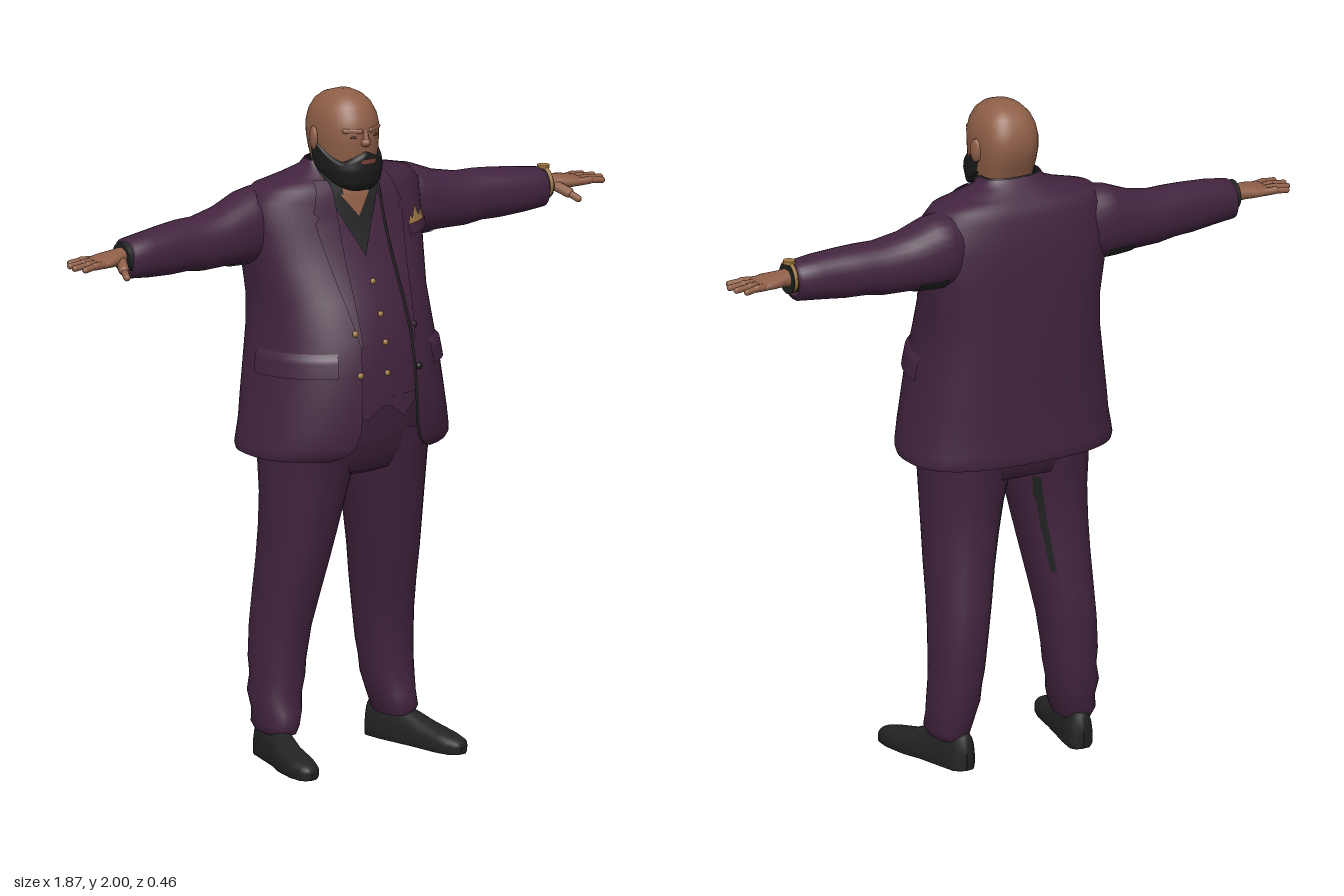
import * as THREE from 'three';

const material = (name, color) => {
  const m = new THREE.MeshStandardMaterial({ color, side: THREE.DoubleSide });
  m.name = name;
  return m;
};
const { lerp } = THREE.MathUtils;
const spow = (v, e) => Math.sign(v) * Math.pow(Math.abs(v), e);

// Interpolates rows [key, ...values], sorted by falling key
function at(rows, k) {
  let i = 0;
  while (i < rows.length - 2 && k < rows[i + 1][0]) i++;
  const p = rows[i], q = rows[i + 1];
  const t = Math.min(1, Math.max(0, (k - p[0]) / (q[0] - p[0])));
  return p.map((v, n) => lerp(v, q[n], t));
}

// Smooth surface from fn(u, v) -> [x, y, z]; s = -1 mirrors it in x
function grid(nu, nv, fn, { closed = false, s = 1 } = {}) {
  const pos = [], idx = [], cols = closed ? nu : nu + 1;
  for (let j = 0; j <= nv; j++)
    for (let i = 0; i < cols; i++) {
      const [x, y, z] = fn(i / nu, j / nv);
      pos.push(x * s, y, z);
    }
  for (let j = 0; j < nv; j++)
    for (let i = 0; i < nu; i++) {
      const i2 = (i + 1) % cols;
      const a = j * cols + i, b = j * cols + i2, d = a + cols, c = b + cols;
      if (s > 0) idx.push(a, d, b, b, d, c);
      else idx.push(a, b, d, b, c, d);
    }
  const g = new THREE.BufferGeometry();
  g.setAttribute('position', new THREE.Float32BufferAttribute(pos, 3));
  g.setIndex(idx);
  g.computeVertexNormals();
  return g;
}

// Body section rows: [y, half width, front z, back z, middle z]; angle runs from the front to +x
function ringPoint(rows, y, a, off = 0) {
  const [, w, zf, zb, cz] = at(rows, y);
  const c = Math.cos(a), e = c > 0 ? 0.9 : 0.75;
  return [(w + off) * spow(Math.sin(a), e), y, cz + (c > 0 ? zf - cz + off : cz - zb + off) * spow(c, e)];
}
const angleAt = (rows, x, y) =>
  Math.sign(x) * Math.asin(Math.min(1, Math.pow(Math.abs(x) / at(rows, y)[1], 1 / 0.9)));
const frontPoint = (rows, x, y, off) => ringPoint(rows, y, angleAt(rows, x, y), off);
const column = (rows, n = 40) => grid(n, rows.length - 1,
  (u, v) => ringPoint(rows, rows[Math.round(v * (rows.length - 1))][0], u * Math.PI * 2), { closed: true });
// Thin cloth piece lying on a body surface, given stations [y, x from, x to]
function panel(rows, st, off, s = 1) {
  const n = st.length - 1;
  return grid(6, n * 6, (u, v) => {
    const i = Math.min(n - 1, Math.floor(v * n + 1e-6)), t = v * n - i;
    const [y, xa, xb] = st[i].map((q, k) => lerp(q, st[i + 1][k], t));
    return frontPoint(rows, lerp(xa, xb, u), y, off);
  }, { s });
}

const JACKET = [
  [1.79, 0.095, -0.02, -0.125, -0.06], [1.765, 0.11, 0.0, -0.145, -0.06], [1.74, 0.18, 0.025, -0.175, -0.07],
  [1.722, 0.26, 0.038, -0.192, -0.08], [1.69, 0.288, 0.05, -0.21, -0.08], [1.6, 0.29, 0.078, -0.23, -0.08],
  [1.5, 0.285, 0.12, -0.235, -0.08], [1.4, 0.272, 0.17, -0.235, -0.07], [1.3, 0.275, 0.212, -0.235, -0.06],
  [1.2, 0.29, 0.23, -0.233, -0.05], [1.1, 0.305, 0.233, -0.232, -0.04], [1.03, 0.315, 0.232, -0.232, -0.03],
  [0.98, 0.324, 0.226, -0.234, -0.03], [0.955, 0.328, 0.216, -0.235, -0.03], [0.94, 0.325, 0.2, -0.23, -0.03]];
// Half width of the jacket's front opening
const OPENING = [[1.79, 0.09], [1.72, 0.085], [1.3, 0.09], [1.03, 0.1], [0.98, 0.115], [0.955, 0.14], [0.94, 0.175]];
const VEST = [
  [1.765, 0.075, 0.0, -0.12, -0.05], [1.73, 0.13, 0.015, -0.14, -0.06], [1.7, 0.22, 0.03, -0.18, -0.08],
  [1.6, 0.26, 0.06, -0.2, -0.08], [1.5, 0.255, 0.1, -0.21, -0.08], [1.4, 0.245, 0.15, -0.21, -0.07],
  [1.3, 0.25, 0.187, -0.21, -0.06], [1.2, 0.26, 0.2, -0.21, -0.05], [1.09, 0.27, 0.202, -0.21, -0.04]];
const HIPS = [
  [1.14, 0.255, 0.185, -0.2, -0.03], [1.0, 0.262, 0.165, -0.2, -0.03], [0.93, 0.26, 0.14, -0.19, -0.03],
  [0.88, 0.25, 0.115, -0.17, -0.03], [0.86, 0.2, 0.07, -0.12, -0.03]];
const HEAD = [
  [2.0, 0.001, -0.019, -0.021, -0.02], [1.996, 0.03, 0.015, -0.052, -0.02], [1.985, 0.052, 0.045, -0.084, -0.02],
  [1.965, 0.072, 0.07, -0.11, -0.02], [1.935, 0.086, 0.089, -0.128, -0.02], [1.9, 0.093, 0.098, -0.136, -0.02],
  [1.86, 0.093, 0.095, -0.135, -0.02], [1.82, 0.09, 0.094, -0.122, -0.02], [1.78, 0.084, 0.086, -0.106, -0.02],
  [1.75, 0.078, 0.06, -0.1, -0.03], [1.72, 0.078, 0.035, -0.105, -0.04], [1.66, 0.085, 0.03, -0.11, -0.04]];
const BEARD = [
  [1.88, 0.096, 0.102, -0.13, -0.02], [1.83, 0.096, 0.104, -0.12, -0.02], [1.78, 0.097, 0.112, -0.1, -0.01],
  [1.74, 0.086, 0.108, -0.08, 0.0], [1.72, 0.068, 0.094, -0.06, 0.01], [1.708, 0.045, 0.075, -0.02, 0.02]];
const COLLAR = [[1.785, 0.084, 0.045, -0.11, -0.04], [1.75, 0.094, 0.045, -0.122, -0.04], [1.7, 0.1, 0.05, -0.13, -0.04]];

// Sleeve rows, falling x: [x, top y, bottom y, front z, back z]
const SLEEVE = [
  [0.735, 1.625, 1.54, -0.03, -0.12], [0.728, 1.642, 1.525, -0.016, -0.137], [0.66, 1.652, 1.518, -0.014, -0.143],
  [0.58, 1.66, 1.512, -0.018, -0.158], [0.52, 1.664, 1.512, -0.022, -0.168], [0.46, 1.664, 1.504, -0.022, -0.176],
  [0.38, 1.68, 1.504, -0.024, -0.188], [0.3, 1.712, 1.5, -0.02, -0.202], [0.25, 1.722, 1.5, -0.03, -0.2], [0.18, 1.7, 1.52, -0.05, -0.18]];
const PALM = [
  [0.856, 1.594, 1.584, -0.03, -0.1], [0.85, 1.603, 1.575, -0.018, -0.112], [0.81, 1.611, 1.573, -0.018, -0.113],
  [0.77, 1.617, 1.572, -0.035, -0.104], [0.74, 1.622, 1.565, -0.042, -0.1], [0.7, 1.622, 1.565, -0.042, -0.1]];
// Trouser leg rows: [y, inner x, outer x, front z, back z]
const LEG = [
  [1.0, 0.0, 0.258, 0.155, -0.19], [0.9, 0.002, 0.256, 0.13, -0.18], [0.8, 0.024, 0.255, 0.108, -0.162],
  [0.7, 0.045, 0.254, 0.09, -0.162], [0.6, 0.065, 0.255, 0.07, -0.168], [0.5, 0.083, 0.257, 0.045, -0.178],
  [0.4, 0.1, 0.262, 0.02, -0.182], [0.3, 0.112, 0.266, 0.006, -0.178], [0.25, 0.12, 0.263, 0.01, -0.172],
  [0.2, 0.126, 0.272, 0.0, -0.17], [0.15, 0.138, 0.264, 0.016, -0.158], [0.11, 0.15, 0.268, 0.02, -0.152], [0.085, 0.16, 0.255, 0.01, -0.14]];
// Shoe rows, falling z: [z, middle x, half width, height]
const SHOE = [
  [0.203, 0.264, 0.001, 0.022], [0.2, 0.264, 0.02, 0.035], [0.185, 0.262, 0.036, 0.047], [0.14, 0.256, 0.047, 0.058],
  [0.06, 0.243, 0.048, 0.075], [0.0, 0.226, 0.043, 0.1], [-0.08, 0.208, 0.043, 0.115], [-0.14, 0.197, 0.04, 0.115],
  [-0.158, 0.195, 0.025, 0.105], [-0.162, 0.195, 0.001, 0.05]];

function limbPoint([k, hi, lo, f, b], a, along, off = 0) {
  const p = (hi + lo) / 2 + ((hi - lo) / 2 + off) * spow(Math.cos(a), 0.88);
  const z = (f + b) / 2 + ((f - b) / 2 + off) * spow(Math.sin(a), 0.88);
  return along === 'x' ? [k, p, z] : [p, k, z];
}
const limb = (rows, along, s) => grid(28, rows.length - 1,
  (u, v) => limbPoint(rows[Math.round(v * (rows.length - 1))], u * Math.PI * 2, along), { closed: true, s });

export function createModel() {
  const model = new THREE.Group();
  const purple = material('purple cloth', 0x43243f), black = material('black cloth', 0x222423);
  const skin = material('skin', 0x8f5f48), gold = material('gold', 0xa07a45);
  const hair = material('beard black', 0x1b1a1a), lip = material('lips', 0x6f3d33), dark = material('eye shade', 0x553628);
  const add = (name, mat, geo) => {
    const m = new THREE.Mesh(geo, mat);
    m.name = name;
    model.add(m);
    return m;
  };
  const blob = (name, mat, p, size) => {
    const m = add(name, mat, new THREE.SphereGeometry(1, 16, 12));
    m.position.set(...p);
    m.scale.set(...size);
    return m;
  };
  const rod = (name, mat, a, b, r) => {
    const p = new THREE.Vector3(...a), d = new THREE.Vector3(...b).sub(p);
    const m = add(name, mat, new THREE.CapsuleGeometry(r, d.length(), 4, 10));
    m.position.copy(p).addScaledVector(d, 0.5);
    m.quaternion.setFromUnitVectors(new THREE.Vector3(0, 1, 0), d.normalize());
    return m;
  };

  // Head and face
  add('head', skin, column(HEAD));
  blob('nose', skin, [0, 1.862, 0.094], [0.016, 0.014, 0.018]);
  rod('noseBridge', skin, [0, 1.895, 0.09], [0, 1.868, 0.099], 0.009);
  add('mouth', lip, panel(BEARD, [[1.815, -0.02, 0.02], [1.808, -0.028, 0.028], [1.8, -0.02, 0.02]], 0.005));
  add('beard', hair, grid(40, 14, (u, v) => {
    const a = lerp(-1.75, 1.75, u), k = Math.abs(a);
    const top = k < 0.75 ? lerp(1.837, 1.805, k / 0.75) : lerp(1.805, 1.875, Math.pow((k - 0.75), 1.5));
    const bottom = 1.708 + 0.085 * Math.pow(k / 1.75, 3);
    return ringPoint(BEARD, lerp(top, bottom, v), a, v === 0 || v === 1 ? -0.014 : 0);
  }));
  add('neckOpening', skin, panel(VEST, [[1.75, -0.06, 0.06], [1.7, -0.05, 0.05], [1.63, 0, 0]], 0.012));

  // Vest, shirt and trouser top
  add('vest', purple, column(VEST));
  add('shirtFront', black, panel(VEST, [[1.75, -0.085, 0.085], [1.7, -0.085, 0.085], [1.52, 0, 0]], 0.006));
  add('shirtCollar', black, grid(36, 4, (u, v) =>
    ringPoint(COLLAR, lerp(1.785, 1.7, v), lerp(0.55 - 0.15 * v, Math.PI * 2 - 0.55 + 0.15 * v, u))));
  add('hips', purple, column(HIPS));
  for (const y of [1.45, 1.36, 1.28, 1.19]) blob('vestButton', gold, frontPoint(VEST, 0.004, y, 0.003), [0.009, 0.009, 0.006]);

  // Jacket shell with dark lining
  const shell = off => grid(56, JACKET.length - 1, (u, v) => {
    const y = JACKET[Math.round(v * (JACKET.length - 1))][0];
    const a = angleAt(JACKET, at(OPENING, y)[1], y);
    return ringPoint(JACKET, y, lerp(a, Math.PI * 2 - a, u), off);
  });
  add('jacket', purple, shell(0));
  add('jacketLining', black, shell(-0.008));

  for (const s of [1, -1]) {
    // Front details
    add('lapel', purple, panel(JACKET, [[1.745, 0.08, 0.12], [1.66, 0.078, 0.15], [1.645, 0.078, 0.135], [1.63, 0.078, 0.15], [1.28, 0.086, 0.093]], 0.009, s));
    add('vestPoint', purple, panel(VEST, [[1.12, 0, 0.14], [1.1, 0, 0.12], [1.055, 0.06, 0.065]], 0.003, s));
    add('pocketFlap', purple, grid(14, 5, (u, v) =>
      ringPoint(JACKET, lerp(1.265, 1.195, v) - 0.01 * u, lerp(0.55, 1.55, u), v === 0 ? 0 : 0.01), { s }));
    for (const y of [1.32, 1.2]) {
      const p = frontPoint(JACKET, 0.102, y, 0.004);
      blob('jacketButton', s < 0 ? gold : black, [p[0] * s, p[1], p[2]], [0.01, 0.01, 0.007]);
    }
    const face = (x, y, off) => { const p = frontPoint(HEAD, x, y, off); return [p[0] * s, p[1], p[2]]; };
    rod('brow', skin, face(0.018, 1.897, -0.003), face(0.06, 1.899, -0.003), 0.008);
    blob('eye', dark, face(0.036, 1.88, -0.001), [0.014, 0.004, 0.004]);
    blob('ear', skin, [s * 0.094, 1.862, -0.035], [0.012, 0.036, 0.022]).rotation.y = s * 0.3;

    // Arm, cuff and hand
    add('sleeve', purple, limb(SLEEVE, 'x', s));
    add('underarm', black, grid(8, 5, (u, v) =>
      limbPoint(at(SLEEVE, lerp(0.36, 0.27, v)), lerp(2.7, 4.1, u), 'x', 0.003), { s }));
    const cuff = add('shirtCuff', black, new THREE.CylinderGeometry(0.043, 0.046, 0.04, 24));
    cuff.rotation.z = Math.PI / 2;
    cuff.position.set(s * 0.73, 1.592, -0.072);
    add('palm', skin, limb(PALM, 'x', s));
    [[-0.1, 0.903, -0.11], [-0.077, 0.922, -0.081], [-0.053, 0.927, -0.05], [-0.03, 0.912, -0.018]].forEach(([z0, x1, z1]) => {
      rod('finger', skin, [s * 0.835, 1.59, z0], [s * (0.835 + x1) / 2, 1.592, (z0 + z1) / 2], 0.0115);
      rod('fingertip', skin, [s * (0.835 + x1) / 2, 1.592, (z0 + z1) / 2], [s * x1, 1.588, z1], 0.0095);
    });
    rod('thumbBase', skin, [s * 0.765, 1.588, -0.05], [s * 0.785, 1.572, -0.005], 0.016);
    rod('thumb', skin, [s * 0.785, 1.572, -0.005], [s * 0.797, 1.558, 0.028], 0.0105);

    // Leg and shoe
    add('trouserLeg', purple, limb(LEG, 'y', s));
    add('innerThigh', black, grid(8, 8, (u, v) =>
      limbPoint(at(LEG, lerp(0.86, 0.56, v)), lerp(-0.15, -0.95, u), 'y', 0.003), { s }));
    add('shoe', black, grid(24, SHOE.length - 1, (u, v) => {
      const [z, cx, w, h] = SHOE[Math.round(v * (SHOE.length - 1))];
      const a = u * Math.PI * 2, up = Math.sin(a);
      return [cx + w * spow(Math.cos(a), 0.8), up > 0 ? 0.02 + (h - 0.02) * Math.pow(up, 0.85) : 0.02 * (1 - Math.min(1, -up * 3)), z];
    }, { closed: true, s }));
  }

  // Wristwatch on the left arm
  const watch = add('watch', gold, new THREE.TorusGeometry(0.044, 0.006, 8, 28));
  watch.rotation.y = Math.PI / 2;
  watch.position.set(0.742, 1.597, -0.072);
  const dial = add('watchDial', gold, new THREE.CylinderGeometry(0.018, 0.018, 0.01, 20));
  dial.position.set(0.742, 1.643, -0.072);

  // Folded pocket square
  for (const [x0, tip, x1, h] of [[0.165, 0.178, 0.205, 1.61], [0.178, 0.205, 0.232, 1.632], [0.205, 0.235, 0.25, 1.618]])
    add('pocketSquare', gold, panel(JACKET, [[h, tip, tip], [1.575, x0, x1]], 0.008));
  add('breastPocket', purple, panel(JACKET, [[1.585, 0.16, 0.252], [1.555, 0.16, 0.252]], 0.012));
  return model;
}
